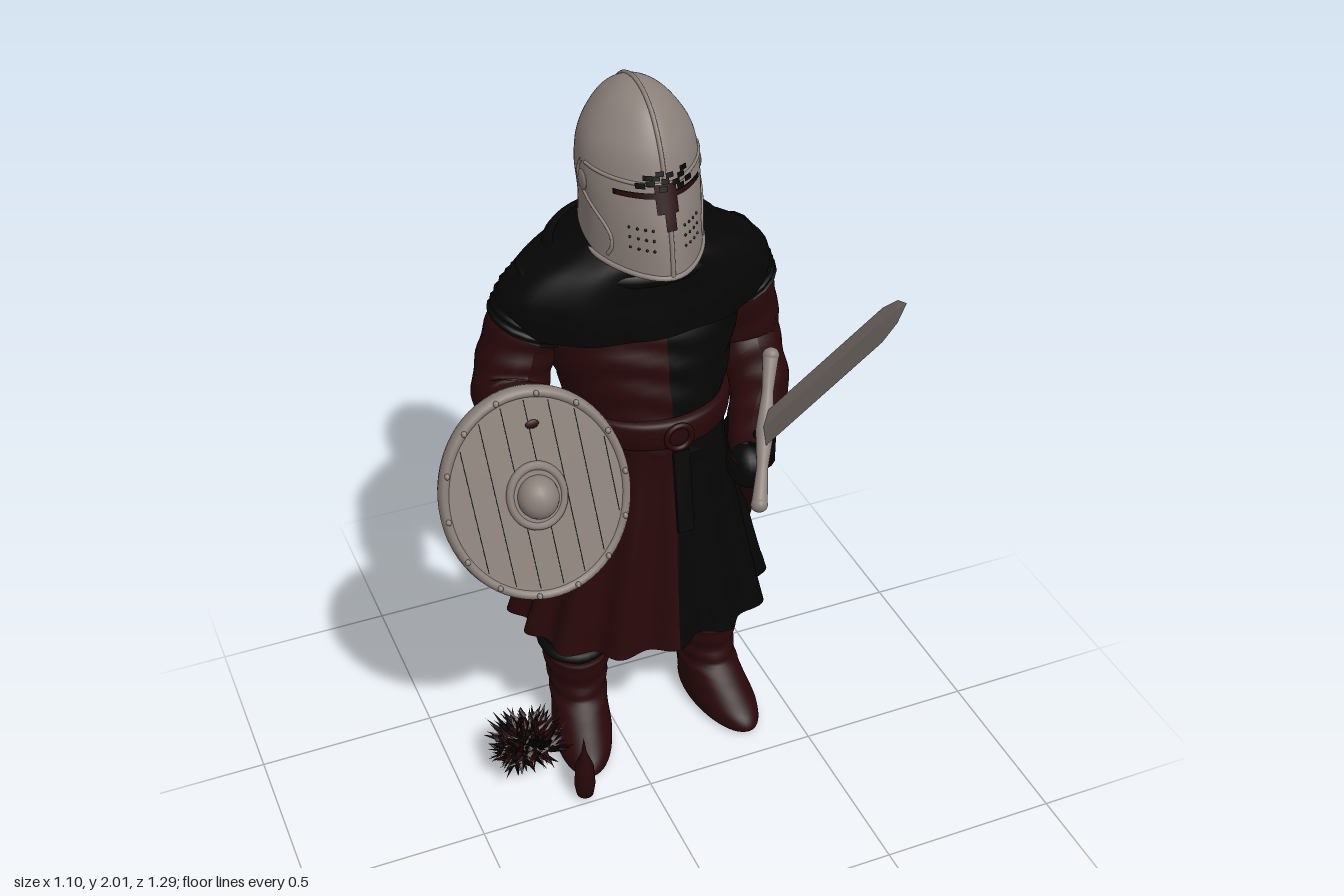
import * as THREE from 'three';
import { mergeVertices } from 'three/addons/utils/BufferGeometryUtils.js';

const paint = (name, color) => {
  const m = new THREE.MeshStandardMaterial({ color, side: THREE.DoubleSide });
  m.name = name;
  return m;
};
const V = (x, y, z) => new THREE.Vector3(x, y, z);

export function createModel() {
  const model = new THREE.Group();
  model.name = 'knight';
  const steel = paint('steel', 0x8b807a), red = paint('darkRed', 0x270709), black = paint('black', 0x050505);

  const add = (name, geo, mat, parent = model, pos = [0, 0, 0], scale = [1, 1, 1]) => {
    const m = new THREE.Mesh(geo, mat);
    m.name = name;
    m.position.set(...pos);
    m.scale.set(...scale);
    parent.add(m);
    return m;
  };
  const group = (name, parent = model) => {
    const g = new THREE.Group();
    g.name = name;
    parent.add(g);
    return g;
  };

  // Smooth surface point through rings [y, cx, cz, rx, rz]; t runs round from the front towards +x
  const at = (rings, t, v, o = {}) => {
    const n = rings.length - 1, i = Math.min(Math.floor(v), n - 1), f = v - i;
    const r = k => rings[Math.max(0, Math.min(n, k))];
    const [y, cx, cz, rx, rz] = rings[0].map((_, c) => {
      const a = r(i - 1)[c], b = r(i)[c], d = r(i + 1)[c], e = r(i + 2)[c];
      return b + 0.5 * f * (d - a + f * (2 * a - 5 * b + 4 * d - e + f * (3 * (b - d) + e - a)));
    });
    const out = (o.offset || 0) + (o.fold ? o.fold(t, v) : 0), s = Math.sin(t), c = Math.cos(t);
    const keel = 1 - (o.keel || 0) * Math.max(0, c) ** 2;
    return V(cx + (rx + out) * s * keel, Math.max(0, y + (o.dy ? o.dy(t, v) : 0)), cz + (rz + out) * c);
  };
  const loft = (rings, o = {}) => {
    const { t0 = 0, t1 = Math.PI * 2, v0 = 0, v1 = rings.length - 1, nu = 48, nv = 24 } = o;
    const pos = [], idx = [], w = nu + 1;
    for (let j = 0; j <= nv; j++) for (let i = 0; i <= nu; i++)
      pos.push(...at(rings, t0 + (t1 - t0) * i / nu, v0 + (v1 - v0) * j / nv, o).toArray());
    for (let j = 0; j < nv; j++) for (let i = 0; i < nu; i++) {
      const a = j * w + i;
      idx.push(a, a + 1, a + w, a + 1, a + w + 1, a + w);
    }
    const g = new THREE.BufferGeometry();
    g.setAttribute('position', new THREE.Float32BufferAttribute(pos, 3));
    g.setIndex(idx);
    const merged = mergeVertices(g, 1e-5);
    merged.computeVertexNormals();
    return merged;
  };
  const tube = (pts, r, closed = false, n = 40) =>
    new THREE.TubeGeometry(new THREE.CatmullRomCurve3(pts, closed), n, r, 8, closed);

  // Tube whose radius changes along the path, with cloth wrinkles
  const limb = (pts, radii, wrinkle = 0.025) => {
    const curve = new THREE.CatmullRomCurve3(pts.map(p => V(...p))), n = 40, sides = 18;
    const g = new THREE.TubeGeometry(curve, n, 1, sides), p = g.attributes.position;
    for (let i = 0; i <= n; i++) {
      const u = i / n * (radii.length - 1), k = Math.min(Math.floor(u), radii.length - 2);
      const c = curve.getPointAt(i / n), r = radii[k] + (radii[k + 1] - radii[k]) * (u - k);
      for (let j = 0; j <= sides; j++) {
        const q = i * (sides + 1) + j, w = V().fromBufferAttribute(p, q).sub(c);
        w.multiplyScalar(r * (1 + wrinkle * Math.sin(i * 1.1 + 1.5 * Math.sin(j / sides * Math.PI * 2)))).add(c);
        p.setXYZ(q, w.x, w.y, w.z);
      }
    }
    g.computeVertexNormals();
    return g;
  };
  // Place a group at a, its y axis towards b, its x axis near the hint
  const aim = (g, a, b, hint) => {
    const y = V(...b).sub(V(...a)).normalize(), z = V(...hint).cross(y).normalize();
    g.setRotationFromMatrix(new THREE.Matrix4().makeBasis(V().crossVectors(y, z), y, z));
    g.position.set(...a);
  };
  const lathe = (pts, sides) => new THREE.LatheGeometry(pts.map(p => new THREE.Vector2(...p)), sides);
  const ball = new THREE.SphereGeometry(1, 20, 14);

  // Parted tunic and pleated skirt: left half black, right half red
  const torso = [[1.02, .125, -.335, .205, .195], [1.12, .125, -.34, .21, .195], [1.25, .12, -.36, .245, .197],
    [1.37, .12, -.37, .27, .182], [1.5, .11, -.37, .2, .12]];
  const skirt = [[.43, .107, -.34, .366, .275], [.6, .112, -.34, .318, .252], [.8, .12, -.335, .262, .222],
    [.97, .125, -.335, .216, .2], [1.09, .125, -.335, .205, .195]];
  const pleat = (t, v) => (.018 * Math.cos(14 * t) + .008 * Math.cos(7 * t + 1)) * (1 - v / 4.3);
  const chestFold = (t, v) => .004 * Math.sin(v * 9 + 2 * Math.sin(3 * t));
  [['left', black, 0], ['right', red, Math.PI]].forEach(([side, mat, t0]) => {
    const span = { t0, t1: t0 + Math.PI };
    add(side + 'Tunic', loft(torso, { ...span, fold: chestFold }), mat);
    add(side + 'Skirt', loft(skirt, { ...span, nu: 110, fold: pleat, dy: (t, v) => v < .5 ? .008 * Math.cos(5 * t) : 0 }), mat);
  });
  const belt = [[1.06, .125, -.335, .205, .195], [1.065, .125, -.335, .218, .206], [1.1, .125, -.335, .224, .212],
    [1.135, .125, -.337, .222, .21], [1.145, .125, -.34, .207, .194]];
  add('belt', loft(belt), red);
  add('beltBuckle', new THREE.TorusGeometry(.035, .008, 8, 20), red, model, [.13, 1.1, -.12]);
  add('beltTail', new THREE.BoxGeometry(.045, .24, .012), black, model, [.14, .93, -.112]).rotation.x = -.16;

  // Hooded mantle over the shoulders
  const mantle = [[1.37, .112, -.37, .335, .19], [1.42, .112, -.37, .365, .187], [1.48, .112, -.37, .365, .182],
    [1.54, .112, -.37, .305, .18], [1.585, .112, -.37, .215, .178], [1.63, .112, -.37, .15, .15], [1.7, .112, -.37, .1, .1]];
  add('mantle', loft(mantle, { nu: 72, fold: (t, v) => .004 * Math.cos(11 * t) * (1 - v / 6) }), black);
  const cowl = [];
  for (let i = 0; i < 24; i++) {
    const p = at(mantle, i * Math.PI / 12, 3.8, { offset: -.012 });
    cowl.push(p.setY(p.y - .015 - .025 * Math.cos(i * Math.PI / 12)));
  }
  add('cowlRoll', tube(cowl, .022, true, 60), black);

  // Arms and hands
  add('leftArm', limb([[.37, 1.45, -.38], [.415, 1.31, -.4], [.435, 1.17, -.385], [.415, 1.1, -.25], [.33, 1.07, -.12], [.285, 1.06, -.03]],
    [.1, .104, .1, .085, .066, .045]), red);
  add('leftShoulderSleeve', limb([[.34, 1.49, -.375], [.38, 1.42, -.385], [.4, 1.365, -.39]], [.1, .11, .113]), black);
  add('leftCuff', limb([[.365, 1.04, -.19], [.32, 1.005, -.08]], [.07, .06]), black);
  add('leftHand', ball, black, model, [.305, .995, -.08], [.052, .065, .068]);
  add('rightArm', limb([[-.14, 1.45, -.38], [-.2, 1.32, -.39], [-.245, 1.2, -.35], [-.27, 1.16, -.2], [-.28, 1.14, -.07]],
    [.1, .1, .1, .08, .058]), red);
  add('rightShoulderSleeve', limb([[-.11, 1.49, -.375], [-.155, 1.42, -.385], [-.18, 1.365, -.39]], [.1, .11, .11]), black);
  add('rightHand', ball, red, model, [-.285, 1.14, -.05], [.055, .06, .05]);

  // Legs and boots
  const boot = [[0, 0, .09, .001, .001], [0, 0, .09, .072, .172], [.04, 0, .09, .086, .18], [.09, 0, .05, .082, .145],
    [.14, 0, .008, .082, .112], [.2, 0, -.005, .088, .106], [.265, 0, -.005, .096, .112], [.275, 0, -.005, .08, .095]];
  [['left', .315, .12], ['right', -.085, -.24]].forEach(([side, x, yaw]) => {
    const inner = x + (side === 'left' ? -.05 : .05);
    add(side + 'Leg', limb([[x, .24, -.365], [x, .32, -.375], [x, .4, -.365], [inner, .75, -.34]], [.085, .105, .11, .1], .045), black);
    add(side + 'KneeRoll', new THREE.TorusGeometry(.088, .022, 8, 28).rotateX(Math.PI / 2 + .15), black, model, [x, .3, -.37]);
    add(side + 'Boot', loft(boot, { nv: 42, fold: (t, v) => v > 3.5 ? .003 * Math.sin(v * 7 + Math.cos(t) * 2) : 0 }),
      red, model, [x, 0, -.355]).rotation.y = yaw;
  });

  // Helmet with keeled visor
  const helmet = group('helmet');
  const helm = [[1.605, .107, -.322, .149, .21], [1.7, .107, -.323, .147, .196], [1.8, .107, -.342, .151, .178],
    [1.88, .107, -.35, .136, .156], [1.95, .107, -.357, .09, .115], [1.988, .107, -.357, .042, .058], [2, .107, -.357, .001, .001]];
  const hs = { keel: .22, dy: (t, v) => v < 2 ? -.024 * Math.cos(t) * (1 - v / 2) : 0 };
  const helmAt = (t, v, offset = 0) => at(helm, t, v, { ...hs, offset });
  const patch = (name, mat, t0, t1, v0, v1, offset) =>
    add(name, loft(helm, { ...hs, t0, t1, v0, v1, offset, nu: 16, nv: 4 }), mat, helmet);
  add('helmetShell', loft(helm, { ...hs, nv: 42, nu: 64 }), steel, helmet);
  const line = (n, f) => Array.from({ length: n }, (_, i) => f(i / (n - 1)));
  add('helmetRim', tube(Array.from({ length: 24 }, (_, i) => helmAt(i * Math.PI / 12, .03)), .007, true, 64), steel, helmet);
  add('helmetRidge', tube([...line(14, u => helmAt(0, u * 5.9)), ...line(14, u => helmAt(Math.PI, 5.9 * (1 - u)))], .006, false, 80), steel, helmet);
  add('browEdge', tube(line(16, u => helmAt(-1.4 + 2.8 * u, 2.1 + .2 * Math.abs(2 * u - 1) ** 2)), .005), steel, helmet);
  patch('eyeSlit', black, -.9, .9, 1.8, 1.93, .004);
  patch('slitStain', red, -.85, .75, 1.82, 1.91, .006);
  patch('visorStain', red, -.24, .2, 1.5, 2.15, .008);
  patch('visorDrip', red, -.1, .12, 1.15, 1.6, .008);
  [[-.55, 2.05], [-.38, 2.12], [-.28, 2.26], [-.1, 2.16], [0, 2.32], [.12, 2.1], [.24, 2.24], [.4, 2.06], [-.16, 1.98], [.2, 1.97],
    [-.2, 2.4], [-.42, 2.3], [.3, 2.42]]
    .forEach(([t, v], i) => patch('visorSplash', black, t, t + .16, v, v + .15, .01 + .0005 * i));
  for (const s of [-1, 1]) {
    for (let i = 0; i < 12; i++)
      add('breathHole', ball, black, helmet, helmAt(s * (.35 + .13 * (i % 4)), .7 + .22 * Math.floor(i / 4)).toArray(), [.0035, .0035, .0035]);
    add('cheekEdge', tube(line(10, u => helmAt(s * (1.5 - .35 * u + .2 * Math.sin(u * 6)), 2.3 - 2 * u)), .005), steel, helmet);
    add('visorPivot', ball, steel, helmet, helmAt(s * 1.5, 1.75).toArray(), [.006, .026, .026]);
  }

  // Round plank shield
  const shield = group('shield');
  shield.position.set(-.31, 1.14, .012);
  shield.rotation.set(-.31, -.06, .07);
  shield.scale.x = .865;
  add('shieldBoard', new THREE.CylinderGeometry(.268, .268, .036, 56).rotateX(Math.PI / 2), steel, shield);
  add('shieldRim', new THREE.TorusGeometry(.262, .016, 10, 64), steel, shield, [0, 0, 0], [1, 1, 1.7]);
  for (let i = -3; i <= 3; i++) {
    const x = i * .068 + .02, h = 2 * Math.sqrt(.245 ** 2 - x * x);
    add('plankGroove', new THREE.BoxGeometry(.0025, h, .038), black, shield, [x, 0, 0]);
  }
  add('shieldBossRing', new THREE.TorusGeometry(.078, .012, 8, 36), steel, shield, [0, 0, .02]);
  add('shieldBossPlate', new THREE.CylinderGeometry(.076, .08, .012, 32).rotateX(Math.PI / 2), steel, shield, [0, 0, .02]);
  add('shieldBoss', ball, steel, shield, [0, 0, .03], [.06, .056, .05]);
  add('shieldNotch', ball, red, shield, [.03, .18, .018], [.02, .011, .004]);
  for (let i = 0; i < 14; i++) {
    const a = i * Math.PI / 7;
    add('rimRivet', ball, steel, shield, [.262 * Math.cos(a), .262 * Math.sin(a), .027], [.008, .008, .007]);
  }
  add('shieldGrip', new THREE.BoxGeometry(.22, .04, .015), red, shield, [.02, 0, -.04]);

  // Raised sword
  const sword = group('sword');
  aim(sword, [.318, 1.145, -.008], [.3, 1.9, .65], [.14, .29, -.26]);
  const blade = lathe([[.046, 0], [.039, .86], [.025, .95], [0, 1.002]], 4).toNonIndexed();
  blade.computeVertexNormals();
  add('blade', blade, steel, sword, [0, 0, 0], [1, 1, .22]);
  add('crossguard', limb([[-.19, -.028, 0], [-.1, -.012, 0], [0, 0, 0], [.1, .014, 0], [.19, .032, 0]], [.021, .015, .024, .015, .021], 0), steel, sword);
  for (const s of [-1, 1]) add('guardEnd', ball, steel, sword, [s * .19, .002 + s * .03, 0], [.02, .024, .022]);
  add('grip', new THREE.CylinderGeometry(.017, .015, .2, 14), black, sword, [0, -.1, 0]);
  add('pommel', ball, steel, sword, [0, -.205, 0], [.028, .026, .024]);

  // Scabbard at the left hip
  const scabbard = group('scabbard');
  aim(scabbard, [.345, 1.0, -.12], [.535, .3, -.625], [0, .6, -.75]);
  add('scabbardBody', lathe([[0, 0], [.05, .005], [.055, .1], [.053, .5], [.045, .82]], 18), red, scabbard, [0, 0, 0], [1, 1, .5]);
  add('scabbardTip', lathe([[.047, .81], [.041, .85], [.026, .88], [0, .895]], 18), black, scabbard, [0, 0, 0], [1, 1, .55]);
  add('scabbardThroat', new THREE.TorusGeometry(.05, .008, 8, 24).rotateX(Math.PI / 2), black, scabbard, [0, .03, 0], [1, 1, .55]);

  // Spiky tuft beside the right boot
  const tuft = group('spikyTuft');
  let seed = 7;
  const rnd = () => (seed = (seed * 16807) % 2147483647) / 2147483647;
  for (let i = 0; i < 420; i++) {
    const a = rnd() * Math.PI * 2, up = rnd() * 1.7 - .7, h = .03 + rnd() * .055, f = Math.sqrt(Math.max(.05, 1 - up * up));
    const dir = V(f * Math.cos(a), up, f * Math.sin(a)).normalize(), d = .03 + rnd() * .07;
    const spike = add('spike', new THREE.ConeGeometry(.009, h, 4), [black, red, steel, black, red][i % 5], tuft);
    spike.position.set(-.3 + dir.x * d * 1.1, .115 + dir.y * d * .85, -.185 + dir.z * d * .95);
    spike.quaternion.setFromUnitVectors(V(0, 1, 0), dir.add(V(rnd() - .5, rnd() * .8, rnd() - .5)).normalize());
  }
  add('redShard', lathe([[0, 0], [.024, .012], [.03, .05], [.026, .12], [.008, .17], [0, .225]], 14), red, model, [-.19, .005, -.025]);
  return model;
}
